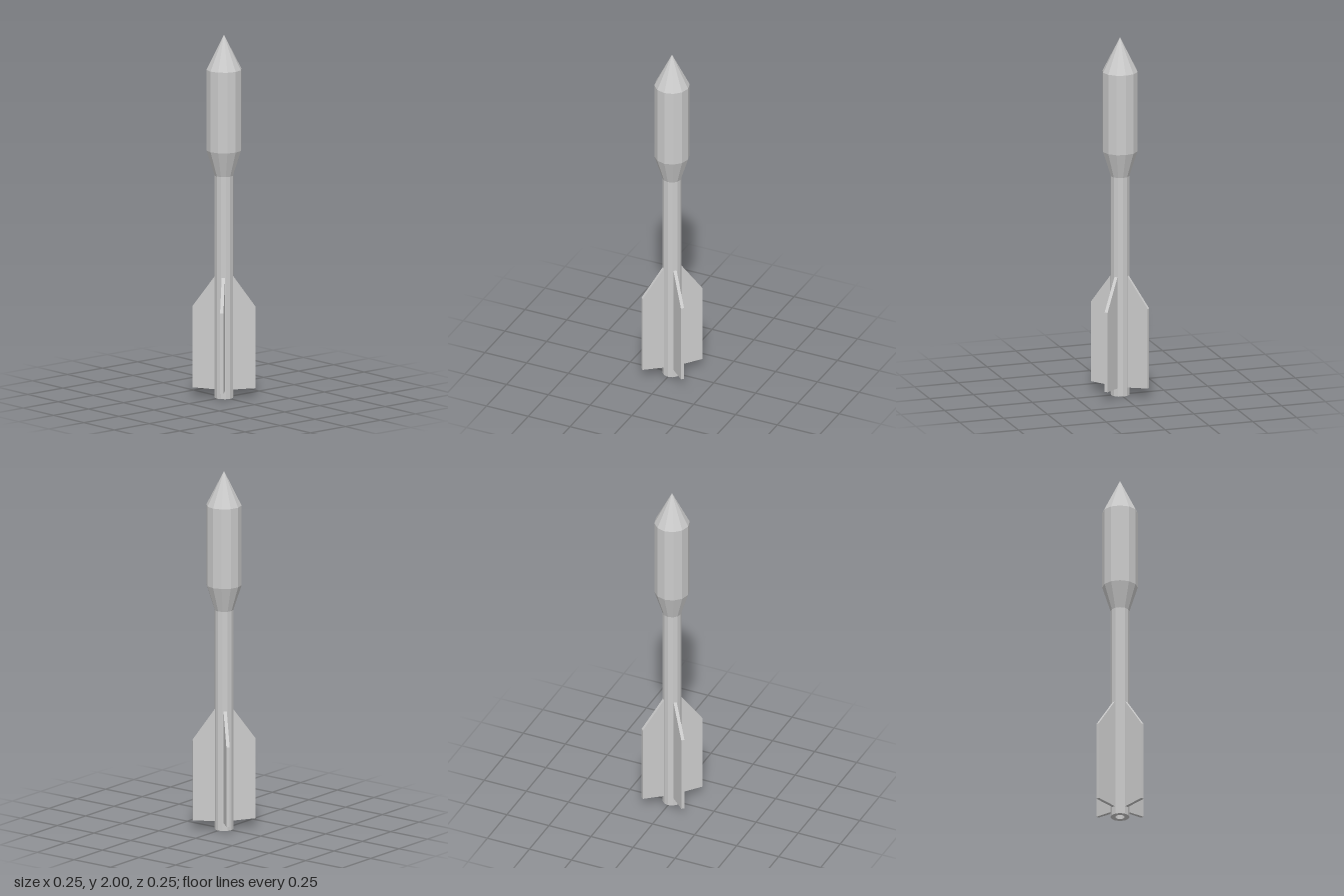
import * as THREE from 'three';

export function createModel() {
  const model = new THREE.Group();
  model.name = 'rocket';
  const material = new THREE.MeshStandardMaterial({ color: 0xcccccc, flatShading: true });

  const addLathe = (name, profile) => {
    const points = profile.map(([r, y]) => new THREE.Vector2(r, y));
    const mesh = new THREE.Mesh(new THREE.LatheGeometry(points, 12), material);
    mesh.name = name;
    model.add(mesh);
  };

  // Narrow tail tube with a nozzle bore in its base
  addLathe('tailTube', [[0, 0.15], [0.026, 0.15], [0.026, 0], [0.051, 0], [0.051, 1.225]]);
  // Flared collar, wide head and pointed nose
  addLathe('collar', [[0.051, 1.225], [0.096, 1.365]]);
  addLathe('head', [[0.096, 1.365], [0.096, 1.81]]);
  addLathe('noseCone', [[0.096, 1.81], [0, 2]]);

  // Four clipped fins on the diagonals, rooted inside the tube wall
  const thickness = 0.018;
  const outline = new THREE.Shape([
    [0.04, 0.045], [0.171, 0.055], [0.171, 0.5], [0.048, 0.67], [0.04, 0.67],
  ].map(([r, y]) => new THREE.Vector2(r, y)));
  const finGeometry = new THREE.ExtrudeGeometry(outline, { depth: thickness, bevelEnabled: false });
  finGeometry.translate(0, 0, -thickness / 2);

  const fins = new THREE.Group();
  fins.name = 'fins';
  for (let i = 0; i < 4; i++) {
    const fin = new THREE.Mesh(finGeometry, material);
    fin.name = `fin${i + 1}`;
    fin.rotation.y = Math.PI / 4 + (i * Math.PI) / 2;
    fins.add(fin);
  }
  model.add(fins);

  return model;
}
